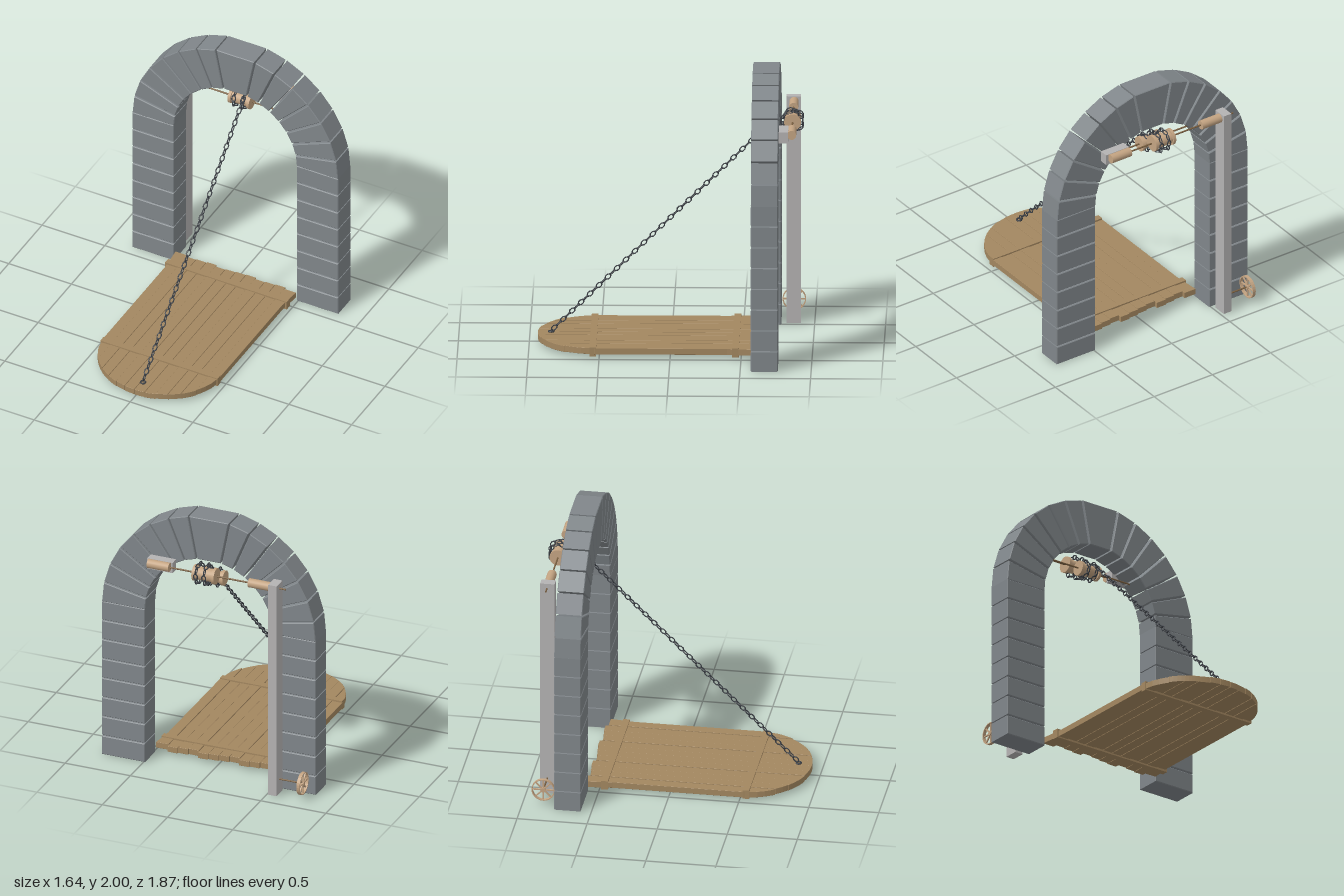
import * as THREE from 'three';
import { mergeGeometries } from 'three/addons/utils/BufferGeometryUtils.js';

const V = (x, y, z) => new THREE.Vector3(x, y, z);
const mat = (color, flatShading = false) => {
  const m = new THREE.MeshStandardMaterial({ color });
  m.flatShading = flatShading;
  return m;
};
const STONE = mat(0x80868a, true), PLANK = mat(0xa38760, true), WOOD = mat(0xc4a482);
const POST = mat(0xb4b2b2, true), ROD = mat(0x7d6242), IRON = mat(0x3c4046, true);

function add(parent, name, geometry, material, x = 0, y = 0, z = 0) {
  const mesh = new THREE.Mesh(geometry, material);
  mesh.name = name;
  mesh.position.set(x, y, z);
  parent.add(mesh);
  return mesh;
}

function group(parent, name) {
  const g = new THREE.Group();
  g.name = name;
  parent.add(g);
  return g;
}

// Cylinder lying along x, from x0 to x1
function cylX(parent, name, x0, x1, r, y, z, material, sides = 20) {
  const g = new THREE.CylinderGeometry(r, r, x1 - x0, sides).rotateZ(Math.PI / 2);
  return add(parent, name, g, material, (x0 + x1) / 2, y, z);
}

// Extruded polygon with small chamfers that stay inside the outline
function slab(points, depth, bevel) {
  const shape = new THREE.Shape(points.map(([x, y]) => new THREE.Vector2(x, y)));
  return new THREE.ExtrudeGeometry(shape, {
    depth: depth - 2 * bevel, bevelSize: bevel, bevelThickness: bevel,
    bevelOffset: -bevel, bevelSegments: 1, curveSegments: 1,
  }).translate(0, 0, bevel);
}

// Stone gateway: two stacked pillars and a ring of wedges with a wide keystone
function buildArch(root) {
  const arch = group(root, 'stoneArch');
  const inner = 0.49, outer = 0.82, depth = 0.19, back = -0.765, cy = 1.195;
  const rows = 8, rowHeight = 1.21 / rows, gap = 0.008;
  for (const s of [-1, 1]) {
    for (let i = 0; i < rows; i++) {
      const y0 = i * rowHeight, y1 = (i + 1) * rowHeight - gap;
      const a = s > 0 ? inner : -outer, b = s > 0 ? outer : -inner;
      add(arch, 'pillarBlock', slab([[a, y0], [b, y0], [b, y1], [a, y1]], depth, 0.005), STONE, 0, 0, back);
    }
  }
  // a0 and a1 are measured from straight up; the joint has an even width
  const wedge = (a0, a1, name) => {
    const corner = (r, a, side) => {
      const t = a + side * 0.006 / r;
      return [r * Math.sin(t), cy + r * Math.cos(t)];
    };
    const pts = [corner(inner, a1, -1), corner(outer, a1, -1), corner(outer, a0, 1), corner(inner, a0, 1)];
    add(arch, name, slab(pts, depth, 0.005), STONE, 0, 0, back);
  };
  const key = 0.192, count = 7, step = (Math.PI / 2 - key) / count;
  wedge(-key, key, 'keystone');
  for (let i = 0; i < count; i++) {
    const a = key + i * step;
    wedge(a, a + step, 'archWedge');
    wedge(-a - step, -a, 'archWedge');
  }
}

// Lowered bridge: planks cut to a rounded front end, held by two battens
function buildBridge(root) {
  const bridge = group(root, 'drawbridge');
  const count = 12, half = 0.47, w = 2 * half / count;
  const frontZ = x => 0.5 + 0.44 * Math.sqrt(Math.max(0, 1 - (x / half) ** 2));
  for (let i = 0; i < count; i++) {
    const x0 = -half + i * w + 0.001, x1 = x0 + w - 0.002;
    const vary = ((i * 5) % 7) / 7 - 0.43;
    const rear = -0.585 + vary * 0.03;
    // the outer planks flare a little towards the hinge
    const flare = x => (Math.abs(x) > half - 0.01 ? Math.sign(x) * 0.018 : 0);
    const pts = [[x0 + flare(x0), rear], [x1 + flare(x1), rear], [x1, -0.4]];
    for (let k = 0; k <= 4; k++) {
      const x = x1 + (x0 - x1) * k / 4;
      pts.push([x, frontZ(x)]);
    }
    pts.push([x0, -0.4]);
    const g = slab(pts, 0.044, 0.001).rotateX(Math.PI / 2);
    add(bridge, 'plank', g, PLANK, 0, 0.071 + vary * 0.006, 0);
  }
  add(bridge, 'rearBatten', new THREE.BoxGeometry(0.97, 0.066, 0.048), PLANK, 0, 0.048, -0.46);
  add(bridge, 'frontBatten', new THREE.BoxGeometry(0.935, 0.066, 0.048), PLANK, 0, 0.048, 0.545);
}

// Interlocking links along a curve, each turned a quarter from the last
function chain(parent, name, curve, closed = false) {
  const pitch = 0.0445;
  let n = Math.round(curve.getLength() / pitch);
  if (closed && n % 2) n++;
  const side = V(1, 0, 0), links = [];
  for (let i = 0; i < n; i++) {
    const u = (i + 0.5) / n, t = curve.getTangentAt(u);
    const normal = t.clone().cross(side).normalize();
    const z = i % 2 ? normal : normal.clone().cross(t).normalize();
    const m = new THREE.Matrix4().makeBasis(t, z.clone().cross(t), z).setPosition(curve.getPointAt(u));
    links.push(new THREE.TorusGeometry(0.0155, 0.0045, 5, 8).rotateZ(Math.PI / 8).scale(1.5, 1, 1).applyMatrix4(m));
  }
  add(parent, name, mergeGeometries(links), IRON);
}

function coil(parent, x, y, z, r) {
  const pts = [];
  for (let i = 0; i < 16; i++) {
    const a = i / 16 * Math.PI * 2;
    pts.push(V(x, y + r * Math.cos(a), z + r * Math.sin(a)));
  }
  chain(parent, 'chainCoil', new THREE.CatmullRomCurve3(pts, true), true);
}

function drum(parent, y, z, r) {
  const g = group(parent, 'chainDrum');
  cylX(g, 'drumCore', -0.1, 0.07, r * 0.8, y, z, WOOD);
  cylX(g, 'drumFlange', -0.1, -0.078, r, y, z, WOOD);
  cylX(g, 'drumFlange', 0.048, 0.07, r, y, z, WOOD);
}

// Two chain drums on their axles, with bearings, bracket and post
function buildWinch(root) {
  const winch = group(root, 'winch');
  const hi = [1.62, -0.855], lo = [1.535, -0.7];
  drum(winch, ...hi, 0.06);
  drum(winch, ...lo, 0.055);
  cylX(winch, 'upperAxle', -0.63, 0.42, 0.006, ...hi, ROD, 8);
  cylX(winch, 'lowerAxle', -0.38, 0.38, 0.006, ...lo, ROD, 8);
  cylX(winch, 'bearing', 0.26, 0.425, 0.033, ...hi, WOOD);
  cylX(winch, 'bearing', -0.515, -0.35, 0.033, ...hi, WOOD);
  add(winch, 'bracket', new THREE.BoxGeometry(0.195, 0.08, 0.066), POST, 0.347, 1.605, -0.798);
  add(winch, 'post', new THREE.BoxGeometry(0.065, 1.65, 0.104), POST, -0.548, 0.832, -0.852);
  for (const x of [-0.03, 0.033]) coil(winch, x, ...hi, 0.07);
  for (const x of [-0.05, 0.02]) coil(winch, x, ...lo, 0.058);
  chain(winch, 'linkingChain', new THREE.LineCurve3(V(-0.01, 1.49, -0.735), V(-0.01, 1.57, -0.83)));
  chain(winch, 'liftingChain', new THREE.LineCurve3(V(0.02, 0.09, 0.84), V(0.02, 1.585, -0.675)));
  add(winch, 'chainRing', new THREE.TorusGeometry(0.018, 0.006, 6, 10).rotateX(Math.PI / 2), IRON, 0.02, 0.078, 0.845);
}

// Spoked hand wheel low on the post
function buildWheel(root) {
  const wheel = group(root, 'handWheel');
  const y = 0.12, z = -0.852, x = -0.757, r = 0.083;
  const section = [[r - 0.007, -0.012], [r, -0.012], [r, 0.012], [r - 0.007, 0.012], [r - 0.007, -0.012]];
  const rim = new THREE.LatheGeometry(section.map(p => new THREE.Vector2(...p)), 28).rotateZ(Math.PI / 2);
  add(wheel, 'rim', rim, mat(0xc4a482, true), x, y, z);
  cylX(wheel, 'hub', x - 0.013, x + 0.013, 0.017, y, z, WOOD, 14);
  for (let i = 0; i < 4; i++) {
    const spoke = add(wheel, 'spokePair', new THREE.BoxGeometry(0.01, 2 * r - 0.008, 0.009), WOOD, x, y, z);
    spoke.rotation.x = i * Math.PI / 4;
  }
  cylX(wheel, 'wheelAxle', x, -0.56, 0.006, y, z, ROD, 8);
}

export function createModel() {
  const root = new THREE.Group();
  root.name = 'drawbridgeGate';
  buildArch(root);
  buildBridge(root);
  buildWinch(root);
  buildWheel(root);
  return root;
}
